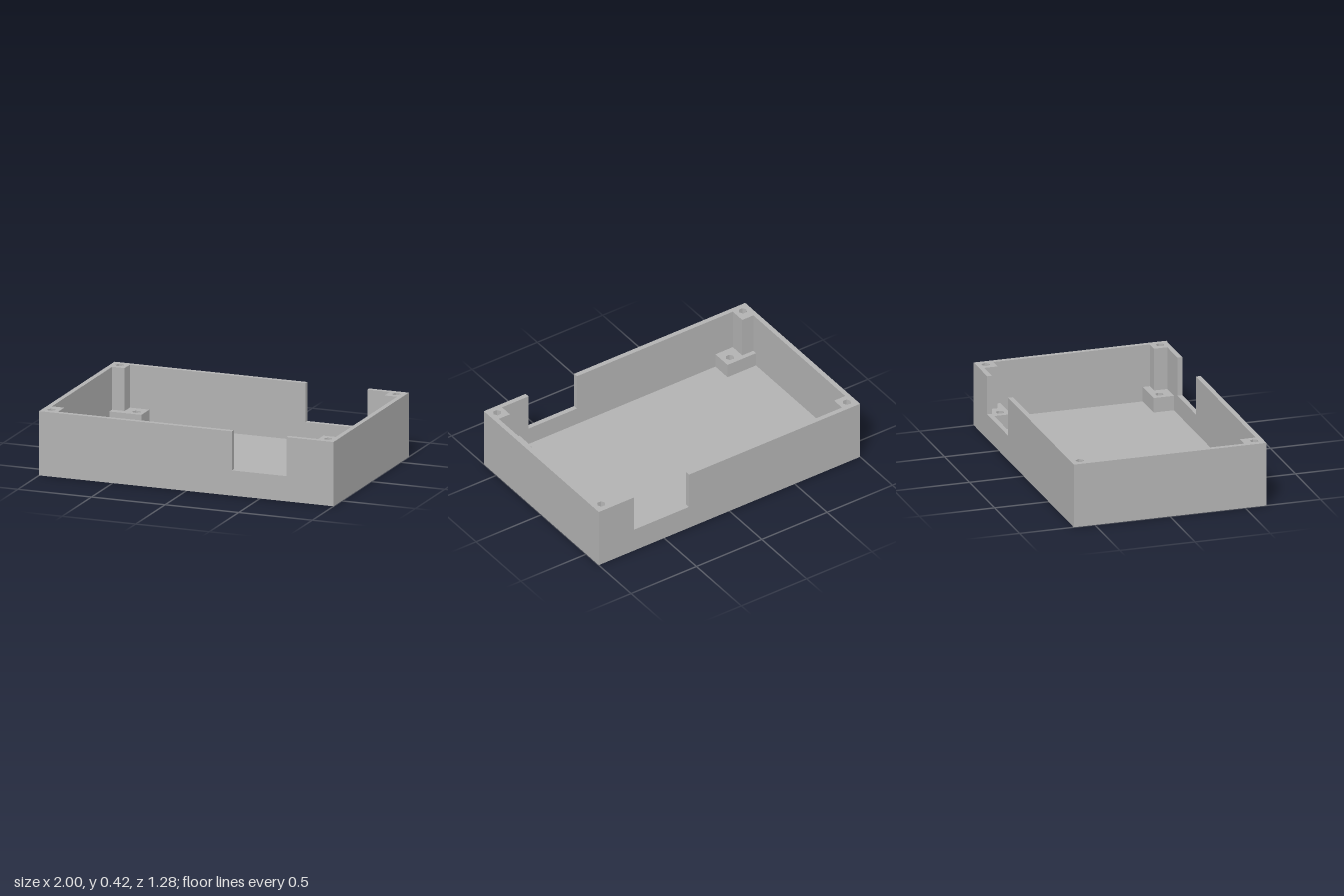
import * as THREE from 'three';

const X = 1, Z = 0.64, H = 0.42;      // outer half sizes and height
const WALL = 0.032, FLOOR = 0.043;    // wall and floor thickness
const IX = X - WALL, IZ = Z - WALL;   // inner half sizes
const SILL = 0.165, SUPPORT_TOP = 0.14;

const toShape = (points) => new THREE.Shape(points.map(([a, b]) => new THREE.Vector2(a, b)));

// Six-sided screw hole outline
function screwHole(x, y, r = 0.028) {
  const points = [];
  for (let i = 0; i < 6; i++) {
    const a = (i * Math.PI) / 3;
    points.push(new THREE.Vector2(x + r * Math.cos(a), y + r * Math.sin(a)));
  }
  return new THREE.Path(points);
}

// Upright prism from an (x, z) outline with one screw hole
function drilledPrism(outline, [hx, hz], y0, y1) {
  const shape = toShape(outline.map(([x, z]) => [x, -z]));
  shape.holes.push(screwHole(hx, -hz));
  const geo = new THREE.ExtrudeGeometry(shape, { depth: y1 - y0, bevelEnabled: false });
  return geo.rotateX(-Math.PI / 2).translate(0, y0, 0);
}

// Long wall with a notch open at the top
function notchedWall(x0, x1, z) {
  const shape = toShape([
    [-X, FLOOR], [X, FLOOR], [X, H], [x1, H], [x1, SILL], [x0, SILL], [x0, H], [-X, H],
  ]);
  return new THREE.ExtrudeGeometry(shape, { depth: WALL, bevelEnabled: false }).translate(0, 0, z);
}

export function createModel() {
  const grey = new THREE.MeshStandardMaterial({ color: 0xb2b2b2 });
  grey.name = 'grey plastic';
  const model = new THREE.Group();
  model.name = 'enclosureBase';

  const add = (name, geo) => {
    const mesh = new THREE.Mesh(geo, grey);
    mesh.name = name;
    model.add(mesh);
  };

  // Floor and four walls
  add('floor', new THREE.BoxGeometry(2 * X, FLOOR, 2 * Z).translate(0, FLOOR / 2, 0));
  add('frontWall', notchedWall(0.31, 0.68, IZ));
  add('backWall', notchedWall(0.31, 0.73, -Z));
  for (const [name, s] of [['leftWall', 1], ['rightWall', -1]]) {
    add(name, new THREE.BoxGeometry(WALL, H - FLOOR, 2 * IZ)
      .translate(s * (X - WALL / 2), (H + FLOOR) / 2, 0));
  }

  // Corner screw posts, each wrapped by a low L-shaped board support
  for (const sx of [1, -1]) {
    for (const sz of [1, -1]) {
      const side = (sz > 0 ? 'front' : 'back') + (sx > 0 ? 'Left' : 'Right');
      const px = 0.883, pz = sx < 0 && sz > 0 ? 0.503 : 0.52;
      const bx = 0.75, bz = 0.473;
      const place = ([x, z]) => [sx * x, sz * z];
      const post = [[px, pz], [IX, pz], [IX, IZ], [px, IZ]].map(place);
      const support = [[bx, bz], [IX, bz], [IX, pz], [px, pz], [px, IZ], [bx, IZ]].map(place);
      add(side + 'ScrewPost', drilledPrism(post, place([0.94, 0.579]), FLOOR, H));
      add(side + 'BoardSupport', drilledPrism(support, place([0.807, 0.53]), FLOOR, SUPPORT_TOP));
    }
  }
  return model;
}
